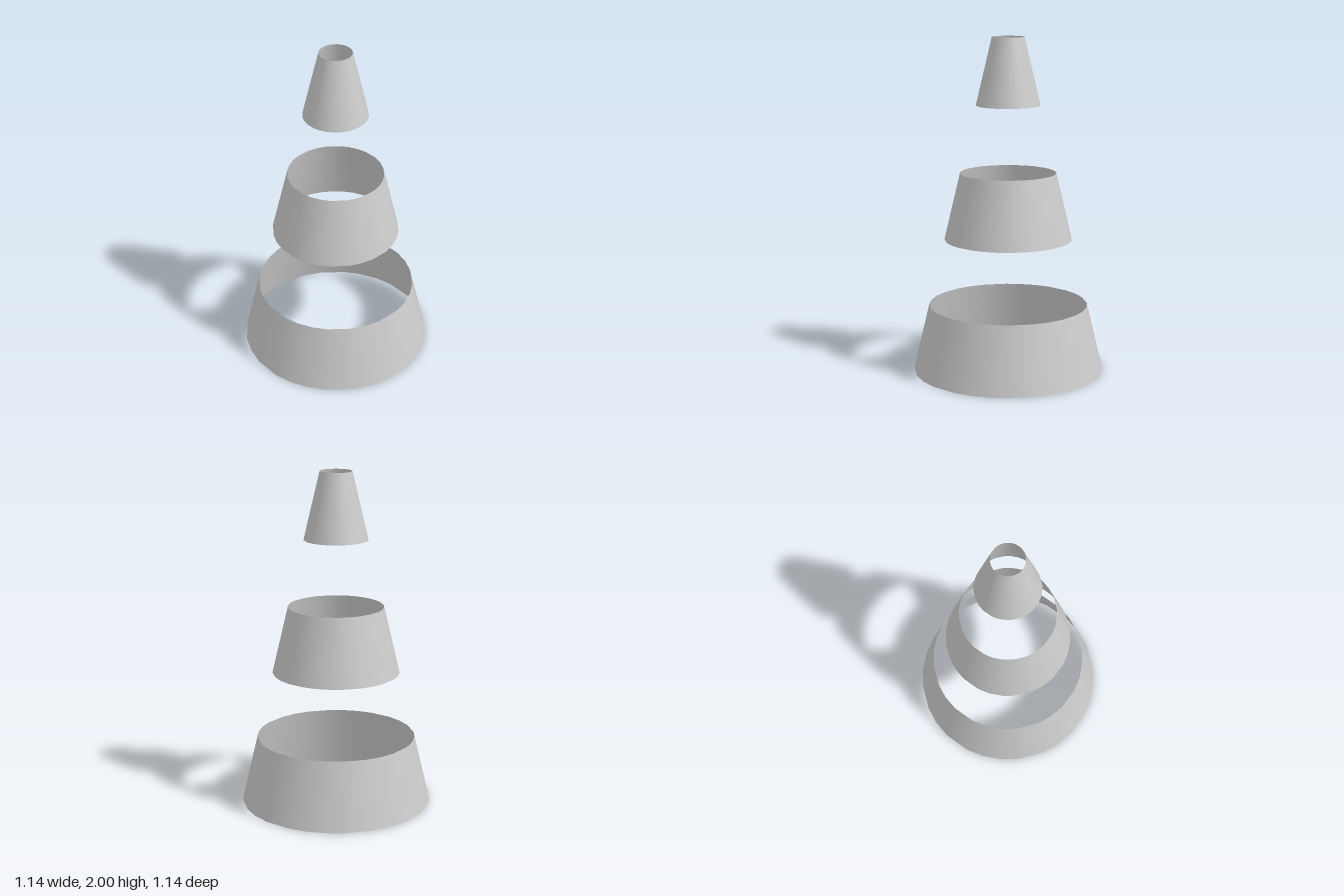
import * as THREE from 'three';

// Angles (degrees) of the side edges within one quarter turn
const QUARTER = [0, 11.4, 28, 39, 51, 62, 78.6];
const BASE_RADIUS = 0.571;
const APEX = 2.4;

// All bands lie on one common cone
const radiusAt = (y) => BASE_RADIUS * (1 - y / APEX);

// Open tapered band between two heights
function coneBand(y0, y1) {
  const n = QUARTER.length * 4;
  const geo = new THREE.CylinderGeometry(radiusAt(y1), radiusAt(y0), y1 - y0, n, 1, true);
  const pos = geo.attributes.position;
  const nor = geo.attributes.normal;
  const slope = BASE_RADIUS / APEX;
  const len = Math.hypot(1, slope);
  // Shift the side edges to their uneven angles
  for (let i = 0; i < pos.count; i++) {
    const k = i % (n + 1);
    const deg = Math.floor(k / QUARTER.length) * 90 + QUARTER[k % QUARTER.length];
    const a = THREE.MathUtils.degToRad(deg);
    const y = i <= n ? y1 : y0;
    const r = radiusAt(y);
    pos.setXYZ(i, Math.sin(a) * r, y, Math.cos(a) * r);
    nor.setXYZ(i, Math.sin(a) / len, slope / len, Math.cos(a) / len);
  }
  return geo;
}

export function createModel() {
  const group = new THREE.Group();
  group.name = 'coneStripes';
  const material = new THREE.MeshStandardMaterial({ color: 0xcccccc, side: THREE.DoubleSide });

  // Three separate bands, bottom to top
  ['lowerBand', 'middleBand', 'upperBand'].forEach((name, i) => {
    const mesh = new THREE.Mesh(coneBand(i * 0.8, i * 0.8 + 0.4), material);
    mesh.name = name;
    group.add(mesh);
  });
  return group;
}
